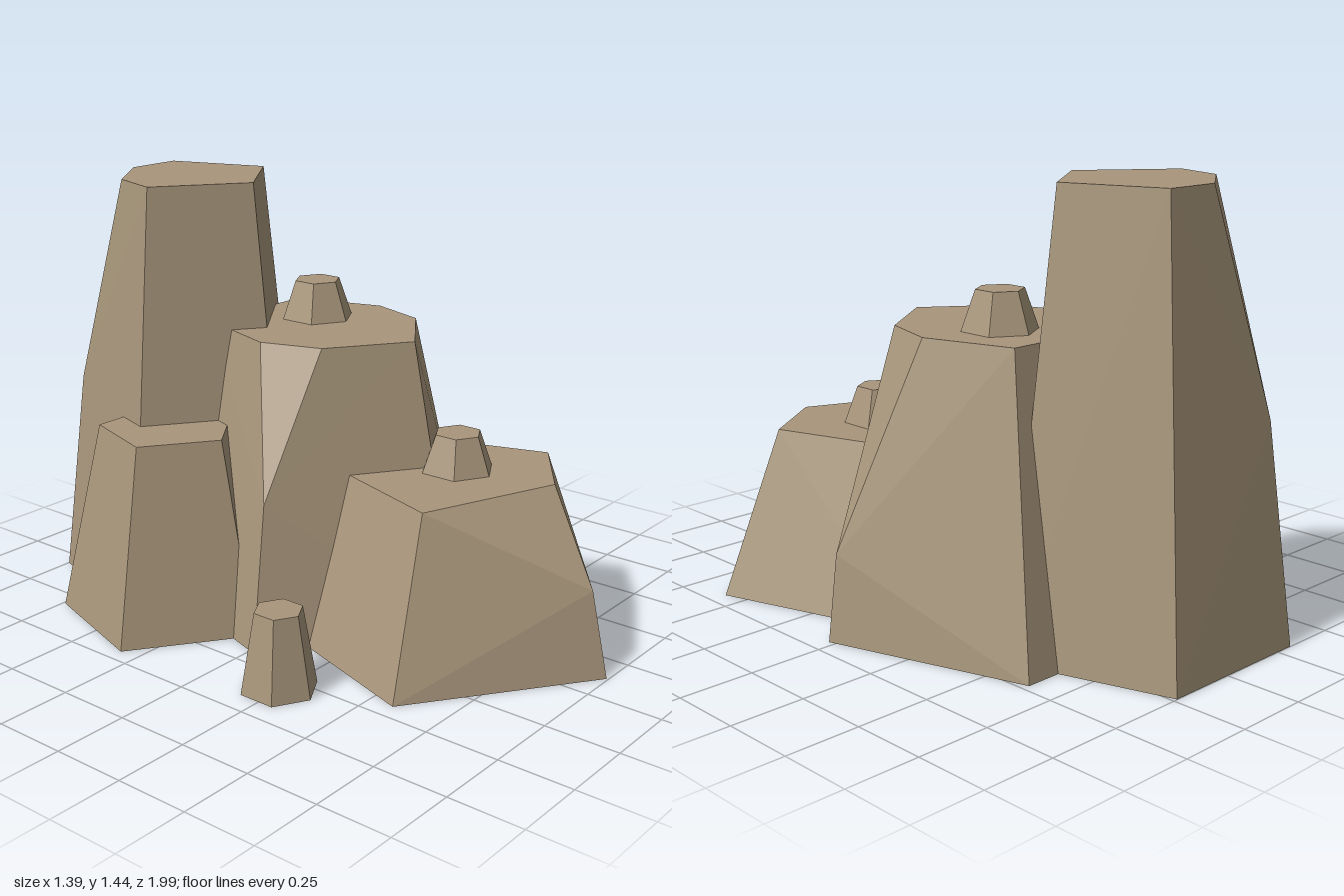
import * as THREE from 'three';
import { ConvexGeometry } from 'three/addons/geometries/ConvexGeometry.js';

const stone = new THREE.MeshStandardMaterial({ color: 0xa8967b, flatShading: true });

// Five corners counted from the front (+z): front, left, back left, back right, right
function pentagon(x, y, z, r) {
  return Array.from({ length: 5 }, (_, i) => {
    const a = (i * Math.PI * 2) / 5;
    return new THREE.Vector3(x + r * Math.sin(a), y, z + r * Math.cos(a));
  });
}

// Tapered five-sided boulder; chips replace a top corner with the points of a broken edge
function boulder(name, { x, z, r, height, topZ, topR, chips = {} }) {
  const points = pentagon(x, 0, z, r);
  pentagon(x, height, topZ, topR).forEach((corner, i) => {
    if (chips[i]) points.push(...chips[i].map((p) => new THREE.Vector3(...p)));
    else points.push(corner);
  });
  const mesh = new THREE.Mesh(new ConvexGeometry(points), stone);
  mesh.name = name;
  return mesh;
}

// Small six-sided stub standing on the ground or on a boulder
function stub(name, x, base, z, height) {
  const mesh = new THREE.Mesh(new THREE.CylinderGeometry(0.079, 0.125, height, 6), stone);
  mesh.position.set(x, base + height / 2, z);
  mesh.name = name;
  return mesh;
}

export function createModel() {
  const group = new THREE.Group();
  group.name = 'rockFormation';

  group.add(
    // Low boulder, chipped at its front corner
    boulder('frontBoulder', {
      x: 0.125, z: 0.4, r: 0.594, height: 0.55, topZ: 0.417, topR: 0.378,
      chips: { 0: [[0.125, 0.28, 0.93], [0.233, 0.55, 0.714]] },
    }),
    // Middle boulder, chipped at both sides
    boulder('middleBoulder', {
      x: 0.125, z: -0.16, r: 0.594, height: 0.96, topZ: -0.143, topR: 0.378,
      chips: {
        1: [[0.655, 0.28, 0.022], [0.376, 0.96, 0.055], [0.44, 0.96, -0.148]],
        4: [[-0.355, 0.48, 0.0], [-0.13, 0.96, 0.055], [-0.195, 0.96, -0.148]],
      },
    }),
    // Tall pillar, chipped at its back corner
    boulder('tallPillar', {
      x: -0.04, z: -0.62, r: 0.468, height: 1.44, topZ: -0.604, topR: 0.297,
      chips: { 3: [[-0.265, 0.72, -0.925], [-0.06, 1.44, -0.845], [-0.265, 1.44, -0.69]] },
    }),
    // Smaller boulder leaning into the pillar
    boulder('sideBoulder', { x: -0.343, z: -0.437, r: 0.375, height: 0.657, topZ: -0.424, topR: 0.235 }),
    // Stubs
    stub('groundStub', -0.564, 0, 0.24, 0.265),
    stub('middleStub', 0.188, 0.96, -0.225, 0.13),
    stub('frontStub', 0.16, 0.55, 0.388, 0.125),
  );
  return group;
}
